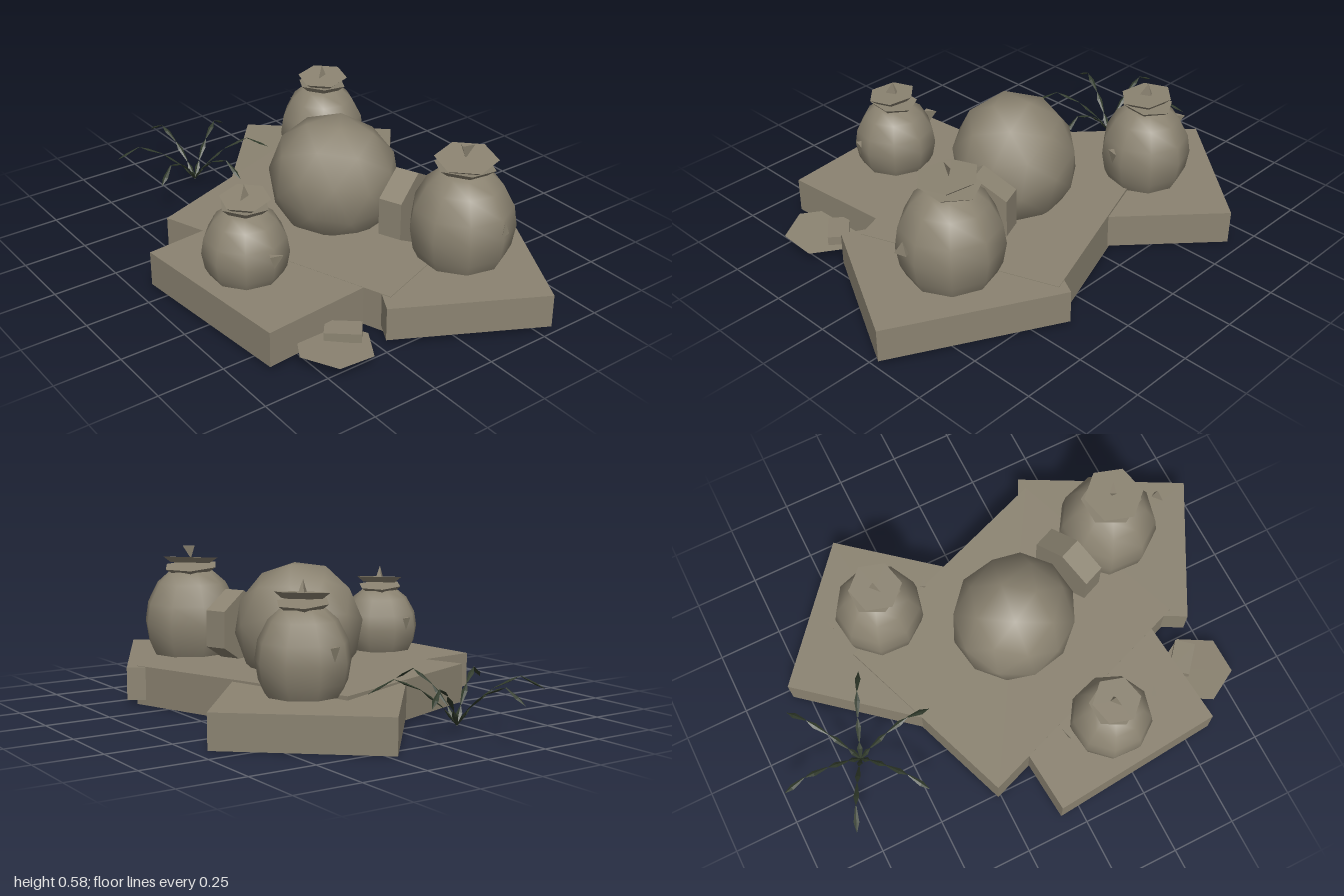
import * as THREE from 'three';
import { mergeVertices } from 'three/addons/utils/BufferGeometryUtils.js';

const rad = THREE.MathUtils.degToRad;

export function createModel() {
  const model = new THREE.Group();
  model.name = 'stoneGarden';
  const stone = new THREE.MeshStandardMaterial({ color: 0x8b8371 });
  stone.name = 'stone';
  const flatStone = stone;
  const leafGreen = new THREE.MeshStandardMaterial({ color: 0x303a2b, side: THREE.DoubleSide });
  leafGreen.name = 'dark leaf green';

  const add = (parent, name, geometry, material, x = 0, y = 0, z = 0) => {
    const mesh = new THREE.Mesh(geometry, material);
    mesh.name = name;
    mesh.position.set(x, y, z);
    parent.add(mesh);
    return mesh;
  };
  // Faceted copy of a geometry
  const facet = (geometry) => {
    const g = geometry.toNonIndexed();
    g.computeVertexNormals();
    return g;
  };

  // Overlapping paving slabs: name, x, z, width, depth, turn, bottom, top, tilt
  const slabs = [
    ['mainSlab', 0.07, -0.025, 0.99, 0.78, 20, 0.004, 0.155, 0],
    ['leftPotSlab', -0.366, -0.255, 0.63, 0.63, 49.5, 0.012, 0.143, -1.6],
    ['rightPotSlab', 0.555, -0.19, 0.68, 0.586, -28, 0.026, 0.153, 0],
    ['frontPotSlab', 0.239, 0.41, 0.685, 0.5, 5, 0.018, 0.154, 0],
  ];
  for (const [name, x, z, w, d, turn, y0, y1, tilt] of slabs) {
    const slab = add(model, name, new THREE.BoxGeometry(w, y1 - y0, d), stone, x, (y0 + y1) / 2, z);
    slab.rotation.set(rad(tilt), rad(turn), 0, 'YXZ');
  }

  // Smooth low-poly boulder
  const ball = new THREE.IcosahedronGeometry(0.25, 1);
  ball.deleteAttribute('uv');
  ball.deleteAttribute('normal');
  const boulderShape = mergeVertices(ball, 1e-4);
  boulderShape.computeVertexNormals();
  const boulder = add(model, 'boulder', boulderShape, stone, 0.075, 0.305, -0.03);
  boulder.rotation.set(0.3, 0.5, 0.2);
  boulder.scale.set(1, 1.02, 0.95);

  // Six-sided stone standing on its edge
  const wheel = new THREE.CylinderGeometry(0.145, 0.145, 0.09, 6).rotateY(rad(30)).rotateZ(Math.PI / 2);
  const upright = add(model, 'uprightStone', facet(wheel), flatStone, 0.37, 0.28, -0.14);
  upright.rotation.y = rad(22);

  // Stepping stone with a small block on it
  const step = new THREE.CylinderGeometry(0.145, 0.09, 0.03, 6);
  add(model, 'steppingStone', facet(step), flatStone, 0.665, 0.037, 0.41).rotation.x = rad(-4);
  const block = add(model, 'smallBlock', new THREE.BoxGeometry(0.08, 0.035, 0.13), stone, 0.635, 0.066, 0.35);
  block.rotation.y = rad(-40);

  // Thin three-sided chip used for handles and lid knobs
  const chip = facet(new THREE.ConeGeometry(0.032, 0.052, 3));

  // Egg-shaped pots with stacked six-sided lids
  const profile = [[0.8, 0], [0.93, 0.15], [1, 0.38], [0.94, 0.6], [0.72, 0.83], [0.45, 0.96], [0, 1]];
  const pots = [
    ['leftPot', -0.37, -0.3, 0.172, 0.315, 0.1, 0.31, 1],
    ['rightPot', 0.585, -0.22, 0.195, 0.355, 0.115, 0.355, -1],
    ['frontPot', 0.23, 0.475, 0.158, 0.265, 0.092, 0.275, 1],
  ];
  for (const [name, x, z, r, h, lidR, earY, dir] of pots) {
    const pot = new THREE.Group();
    pot.name = name;
    pot.position.set(x, 0.145, z);
    model.add(pot);
    const points = profile.map(([px, py]) => new THREE.Vector2(px * r, py * h));
    add(pot, 'potBody', new THREE.LatheGeometry(points, 9), stone).rotation.y = 0.3;
    for (let i = 0; i < 2; i++) {
      const lid = new THREE.CylinderGeometry(lidR, lidR * 0.72, 0.022, 6);
      const mesh = add(pot, i ? 'upperLid' : 'lowerLid', facet(lid), flatStone, i * 0.006, h - 0.004 + i * 0.034, 0);
      mesh.rotation.set(rad(i ? 5 : -5), i * 0.25, rad(i ? -4 : 4));
    }
    const knob = add(pot, 'lidKnob', chip, flatStone, 0, h + 0.062, 0);
    knob.rotation.set(dir < 0 ? Math.PI : 0, rad(30), 0);
    knob.scale.x = 0.45;
    for (const side of [-1, 1]) {
      const ear = add(pot, 'handleChip', chip, flatStone, side * (r + 0.022), earY - 0.145, 0);
      ear.rotation.set(dir < 0 ? 0 : Math.PI, rad(side * 28), 0);
      ear.scale.x = 0.4;
    }
  }

  // Arching plant: six arms, each a chain of lozenge leaflets
  const plant = new THREE.Group();
  plant.name = 'plant';
  plant.position.set(-0.675, 0, 0.14);
  model.add(plant);
  const arch = [[0, 0.035], [0.05, 0.1], [0.13, 0.165], [0.225, 0.205], [0.317, 0.155]];
  for (let a = 0; a < 6; a++) {
    const arm = new THREE.Group();
    arm.name = 'plantArm';
    arm.rotation.y = rad(a * 60 + 5);
    plant.add(arm);
    for (let i = 0; i < arch.length - 1; i++) {
      const [x0, y0] = arch[i], [x1, y1] = arch[i + 1];
      const length = Math.hypot(x1 - x0, y1 - y0);
      const leaf = new THREE.CylinderGeometry(0.011, 0.003, length * 0.6, 4).translate(0, -length * 0.2, 0);
      const tip = new THREE.ConeGeometry(0.011, length * 0.4, 4).translate(0, length * 0.3, 0);
      for (const half of [leaf, tip]) {
        const mesh = add(arm, 'leaflet', facet(half), leafGreen, (x0 + x1) / 2, (y0 + y1) / 2, 0);
        mesh.rotation.z = Math.atan2(y1 - y0, x1 - x0) - Math.PI / 2;
        mesh.scale.x = 0.4;
      }
    }
  }
  return model;
}
